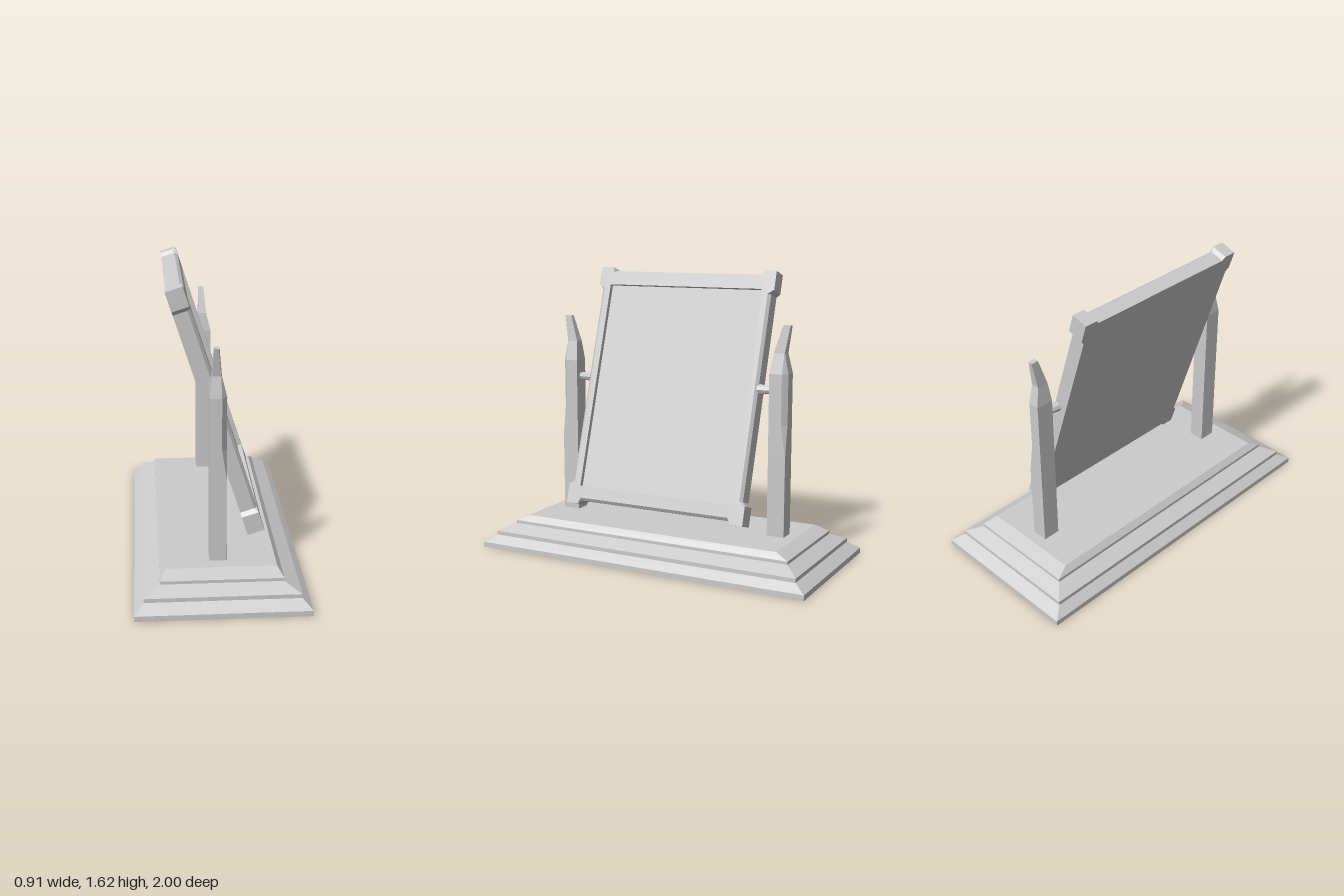
import * as THREE from 'three';

const material = new THREE.MeshStandardMaterial({ color: 0xcccccc, flatShading: true });

function addMesh(parent, name, geometry) {
  const mesh = new THREE.Mesh(geometry, material);
  mesh.name = name;
  parent.add(mesh);
  return mesh;
}

// Skin a list of rings ([x, y, z] points, counter-clockwise seen from the last ring)
function loft(rings, capped = true) {
  const pos = [];
  const tri = (a, b, c) => pos.push(...a, ...b, ...c);
  const n = rings[0].length;
  for (let r = 0; r < rings.length - 1; r++) {
    for (let i = 0; i < n; i++) {
      const j = (i + 1) % n, A = rings[r], B = rings[r + 1];
      tri(A[i], A[j], B[j]);
      tri(A[i], B[j], B[i]);
    }
  }
  if (capped) {
    const first = rings[0], last = rings[rings.length - 1];
    for (let i = 1; i < n - 1; i++) {
      tri(first[0], first[i + 1], first[i]);
      tri(last[0], last[i], last[i + 1]);
    }
  }
  const g = new THREE.BufferGeometry();
  g.setAttribute('position', new THREE.Float32BufferAttribute(pos, 3));
  g.computeVertexNormals();
  return g;
}

// Stepped, sloped plinth: [y, half width, half length]
function baseGeometry() {
  const steps = [
    [0, 0.457, 1], [0.03, 0.457, 1], [0.07, 0.407, 0.935], [0.092, 0.407, 0.935],
    [0.13, 0.322, 0.857], [0.147, 0.322, 0.857], [0.18, 0.293, 0.78],
  ];
  return loft(steps.map(([y, w, l]) => [[w, y, l], [w, y, -l], [-w, y, -l], [-w, y, l]]));
}

// Post with one chamfered outer corner and an outward leaning tip
function postGeometry(side) {
  // [y, x0, x1, inner z, outer z, chamfer]
  const sections = [
    [0.17, -0.056, 0.035, -0.05, 0.05, 0.001], [0.63, -0.056, 0.035, -0.05, 0.05, 0.001],
    [0.8, -0.056, 0.035, -0.05, 0.05, 0.027], [1.08, -0.056, 0.035, -0.05, 0.05, 0.027],
    [1.19, -0.042, 0.008, -0.037, 0.028, 0.004], [1.34, -0.032, -0.006, 0.01, 0.053, 0.004],
  ];
  return loft(sections.map(([y, x0, x1, zi, zo, c]) => {
    const ring = [[x1 - c, zo], [x1, zo - c], [x1, zi], [x0, zi], [x0, zo]]
      .map(([x, z]) => [x, y, side * z]);
    return side > 0 ? ring : ring.reverse();
  }));
}

// Frame outline with raised corner blocks; rails sit back by inset
const W = 0.5575, H = 0.705;
function frameOutline(inset) {
  const quarter = [
    [W - inset, H - 0.13], [W, H - 0.108], [W, H], [W - 0.075, H], [W - 0.092, H - inset],
  ];
  const flipX = quarter.map(([x, y]) => [-x, y]).reverse();
  const turn = (pts) => pts.map(([x, y]) => [-x, -y]);
  return [...quarter, ...flipX, ...turn(quarter), ...turn(flipX)];
}

const toVectors = (pts) => pts.map(([x, y]) => new THREE.Vector2(x, y));
const atDepth = (pts, z) => pts.map(([x, y]) => [x, y, z]);

function createMirror() {
  const mirror = new THREE.Group();
  mirror.name = 'mirror';
  const back = -0.0475, front = 0.0475, glassZ = 0.021;
  const outer = frameOutline(0.02), bevelled = frameOutline(0.036);
  const w = W - 0.075, h = H - 0.105;
  const opening = [[w, h], [w, -h], [-w, -h], [-w, h]];

  // Outer sides, with a chamfer along the front of each rail
  addMesh(mirror, 'frameSides', loft(
    [atDepth(outer, back), atDepth(outer, 0.032), atDepth(bevelled, front)], false));

  // Front of the frame around the opening
  const face = new THREE.Shape(toVectors(bevelled));
  face.holes.push(new THREE.Path(toVectors(opening)));
  addMesh(mirror, 'frameFront', new THREE.ShapeGeometry(face).translate(0, 0, front));

  // Inner walls of the opening, glass and flat back
  addMesh(mirror, 'frameInnerEdge', loft([atDepth(opening, glassZ), atDepth(opening, front)], false));
  addMesh(mirror, 'glass', new THREE.PlaneGeometry(2 * w, 2 * h).translate(0, 0, glassZ));
  addMesh(mirror, 'backPanel',
    new THREE.ShapeGeometry(new THREE.Shape(toVectors(outer))).rotateY(Math.PI).translate(0, 0, back));

  mirror.rotation.y = Math.PI / 2;
  return mirror;
}

export function createModel() {
  const model = new THREE.Group();
  model.name = 'tiltingTableMirror';
  addMesh(model, 'base', baseGeometry());

  const zShift = -0.008;
  for (const side of [1, -1]) {
    const label = side > 0 ? 'left' : 'right';
    addMesh(model, label + 'Post', postGeometry(side)).position.z = side * 0.661 + zShift;

    // Tapered pivot pin, wide end at the frame
    const pin = addMesh(model, label + 'Pivot', new THREE.CylinderGeometry(0.018, 0.03, 0.09, 8));
    pin.rotation.x = side * Math.PI / 2;
    pin.position.set(-0.01, 0.985, side * 0.575 + zShift);
  }

  // Leaning mirror hung between the posts
  const tilt = new THREE.Group();
  tilt.name = 'mirrorTilt';
  tilt.add(createMirror());
  tilt.position.set(-0.01, 0.935, zShift);
  tilt.rotation.z = THREE.MathUtils.degToRad(17.8);
  model.add(tilt);
  return model;
}
